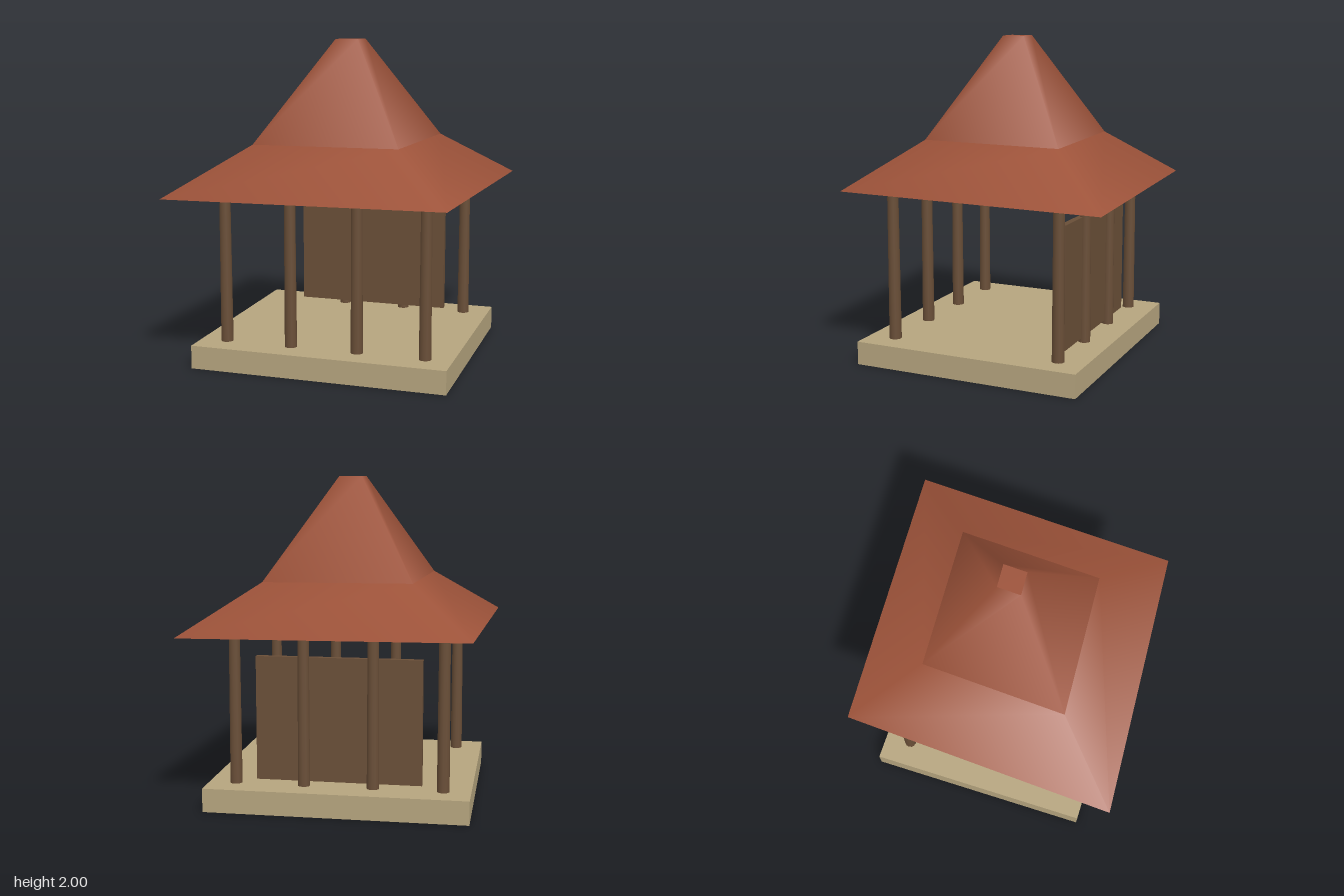
import * as THREE from 'three';

export function createModel() {
  const model = new THREE.Group();
  const material = (name, color) => {
    const m = new THREE.MeshStandardMaterial({ color });
    m.name = name;
    return m;
  };
  const stone = material('sandstone', 0xb5a47e);
  const wood = material('dark wood', 0x694e37);
  const tile = material('roof tile', 0x9c5239);

  const add = (name, geometry, mat, x, y, z, parent = model) => {
    const mesh = new THREE.Mesh(geometry, mat);
    mesh.name = name;
    mesh.position.set(x, y, z);
    parent.add(mesh);
    return mesh;
  };

  // Platform
  add('platform', new THREE.BoxGeometry(1.6, 0.145, 1.44), stone, 0, 0.0725, 0);

  // Two rows of four slightly tapered posts
  const postGeometry = new THREE.CylinderGeometry(0.034, 0.038, 0.935, 12);
  for (const z of [-0.547, 0.547]) {
    for (let i = 0; i < 4; i++) {
      add('post', postGeometry, wood, -0.633 + i * 0.422, 0.6125, z);
    }
  }

  // Back wall panel
  add('backWall', new THREE.BoxGeometry(1.01, 0.76, 0.04), wood, 0, 0.55, -0.52);

  // Four-sided two-pitch roof, narrower across one diagonal
  const roof = new THREE.Group();
  roof.name = 'roof';
  roof.rotation.y = -Math.PI / 4;
  roof.scale.x = 0.905;
  model.add(roof);
  const tier = (name, top, bottom, y0, y1) => add(
    name,
    new THREE.CylinderGeometry(top * Math.SQRT2, bottom * Math.SQRT2, y1 - y0, 4),
    tile, 0, (y0 + y1) / 2, 0, roof
  );
  tier('eaves', 0.475, 0.895, 1.08, 1.37);
  tier('spire', 0.075, 0.475, 1.37, 2);

  return model;
}
